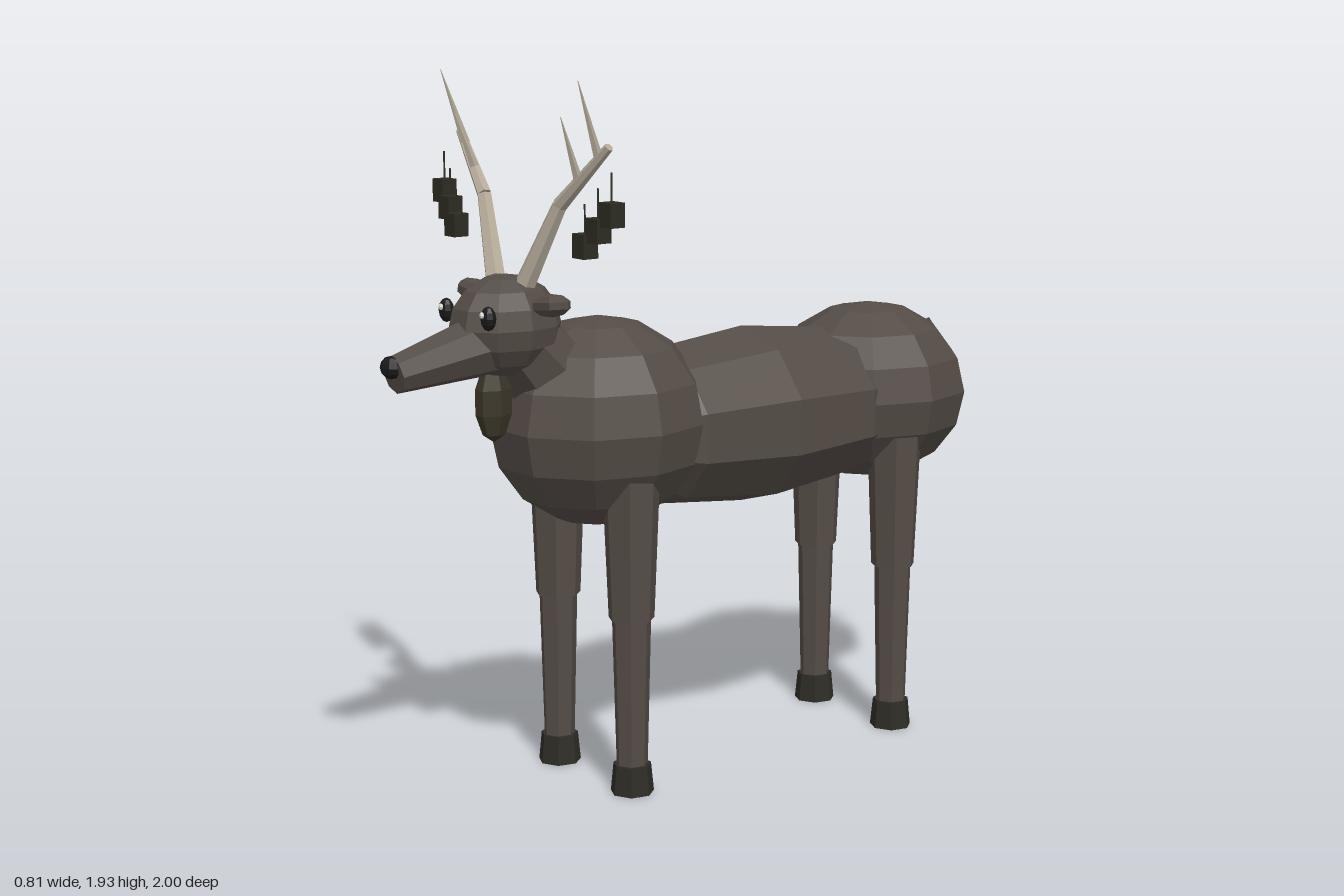
import * as THREE from 'three';

const mat = (name, color) => {
  const m = new THREE.MeshStandardMaterial({ color, flatShading: true });
  m.name = name;
  return m;
};

export function createModel() {
  const model = new THREE.Group();
  model.name = 'deer';
  const fur = mat('fur grey brown', 0x544c46);
  const beardMat = mat('beard brown', 0x3c3628);
  const horn = mat('antler bone', 0xb5ab9a);
  const hoofMat = mat('hoof dark', 0x2e2c26);
  const charm = mat('charm dark', 0x2c2c22);
  const black = mat('nose and eye black', 0x1a1a1a);
  const glint = mat('eye glint', 0xe8e4d8);

  const add = (name, geo, material, parent = model) => {
    const mesh = new THREE.Mesh(geo, material);
    mesh.name = name;
    parent.add(mesh);
    return mesh;
  };

  // Faceted ellipsoid
  const blob = (name, pos, size, material, w = 10, h = 8, parent = model) => {
    const geo = new THREE.SphereGeometry(1, w, h).scale(...size);
    const mesh = add(name, geo, material, parent);
    mesh.position.set(...pos);
    return mesh;
  };

  // Tapered rod running from a to b
  const rod = (name, a, b, ra, rb, sides, material, parent = model) => {
    const from = new THREE.Vector3(...a), to = new THREE.Vector3(...b);
    const dir = to.clone().sub(from);
    const mesh = add(name, new THREE.CylinderGeometry(rb, ra, dir.length(), sides), material, parent);
    mesh.position.copy(from).add(to).multiplyScalar(0.5);
    mesh.quaternion.setFromUnitVectors(new THREE.Vector3(0, 1, 0), dir.normalize());
    return mesh;
  };

  // Body: chest, barrel and haunch
  blob('chest', [0, 0.997, 0.33], [0.285, 0.285, 0.305], fur);
  blob('haunch', [0, 0.975, -0.64], [0.28, 0.256, 0.3], fur);
  const profile = [[0, -0.42], [0.7, -0.4], [0.87, -0.3], [1, 0], [0.87, 0.3], [0.7, 0.4], [0, 0.42]]
    .map(([r, y]) => new THREE.Vector2(r, y));
  const barrel = new THREE.LatheGeometry(profile, 10).rotateX(Math.PI / 2).scale(0.278, 0.25, 1);
  add('barrel', barrel, fur).position.set(0, 0.955, -0.165);

  // Neck, head, snout and nose
  rod('neck', [0, 1.06, 0.42], [0, 1.26, 0.6], 0.14, 0.1, 8, fur);
  blob('head', [0, 1.283, 0.625], [0.128, 0.135, 0.157], fur);
  rod('snout', [0, 1.25, 0.64], [0, 1.188, 0.965], 0.092, 0.05, 8, fur);
  blob('nose', [0, 1.208, 0.972], [0.032, 0.03, 0.028], black, 8, 6);

  // Beard: ellipsoid narrowing to a point
  blob('beard', [0, 1.085, 0.665], [0.038, 0.108, 0.055], beardMat, 6, 5);

  // Tail
  rod('tail', [0, 1.115, -0.855], [0, 1.02, -0.995], 0.055, 0, 5, fur);

  // Mirrored head details
  for (const s of [-1, 1]) {
    const side = s > 0 ? 'left' : 'right';

    const ear = blob(side + 'Ear', [s * 0.175, 1.352, 0.6], [0.078, 0.03, 0.04], fur, 6, 5);
    ear.rotation.z = s * 0.12;
    blob(side + 'Eye', [s * 0.098, 1.322, 0.742], [0.022, 0.032, 0.02], black, 8, 6);
    blob(side + 'EyeGlint', [s * 0.096, 1.332, 0.76], [0.009, 0.009, 0.006], glint, 6, 4);

    // Antler: two beam sections and two tines
    const antler = new THREE.Group();
    antler.name = side + 'Antler';
    model.add(antler);
    const base = [s * 0.07, 1.4, 0.607], bend = [s * 0.172, 1.605, 0.57], tip = [s * 0.338, 1.762, 0.535];
    rod('lowerBeam', base, bend, 0.028, 0.02, 6, horn, antler);
    rod('upperBeam', bend, tip, 0.02, 0.012, 6, horn, antler);
    rod('innerTine', [s * 0.236, 1.67, 0.557], [s * 0.248, 1.835, 0.618], 0.013, 0.001, 5, horn, antler);
    rod('outerTine', [s * 0.302, 1.73, 0.542], [s * 0.312, 1.927, 0.61], 0.013, 0.001, 5, horn, antler);

    // Hanging charms on thin cords
    for (let i = 0; i < 3; i++) {
      const x = s * (0.295 + 0.043 * i), y = 1.515 + 0.042 * i, z = 0.58 - 0.01 * i;
      add('charm', new THREE.BoxGeometry(0.05, 0.062, 0.045), charm, antler).position.set(x, y, z);
      rod('cord', [x, y, z], [x, y + 0.105, z], 0.003, 0.003, 4, charm, antler);
    }

    // Legs
    for (const [end, z] of [['front', 0.348], ['rear', -0.597]]) {
      const leg = new THREE.Group();
      leg.name = side + end[0].toUpperCase() + end.slice(1) + 'Leg';
      leg.position.set(s * 0.17, 0, z);
      model.add(leg);
      rod('upperLeg', [0, 0.485, 0], [0, 0.87, 0], 0.063, 0.079, 7, fur, leg);
      rod('lowerLeg', [0, 0.07, 0], [0, 0.49, 0], 0.043, 0.054, 7, fur, leg);
      rod('hoof', [0, 0, 0], [0, 0.08, 0], 0.06, 0.052, 7, hoofMat, leg);
    }
  }
  return model;
}
